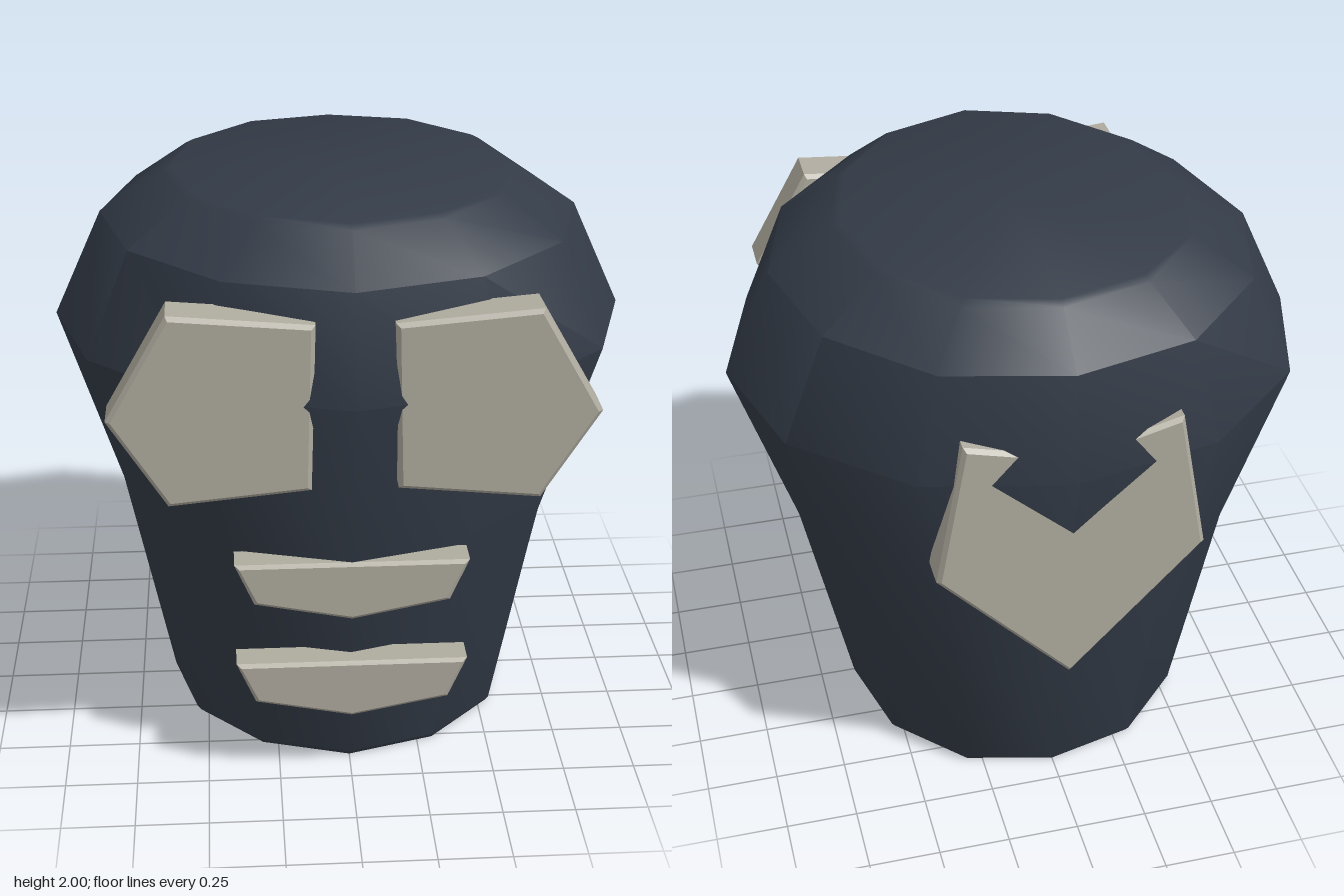
import * as THREE from 'three';
import { toCreasedNormals } from 'three/addons/utils/BufferGeometryUtils.js';

const shell = new THREE.MeshStandardMaterial({ color: 0x333b47 });
shell.name = 'slate shell';
const bone = new THREE.MeshStandardMaterial({ color: 0xafab9f });
bone.name = 'bone plate';

// Twelve-sided tapered body; each row is half width, height, front z, back z
function bodyGeometry() {
  const rows = [
    [0, 0, 0, 0],
    [0.61, 0, 0.61, 0.65],
    [0.625, 0.02, 0.625, 0.665],
    [0.79, 0.82, 0.74, 0.76],
    [1.0, 1.47, 0.925, 0.92],
    [0.83, 1.84, 0.86, 0.857],
    [0.61, 1.985, 0.69, 0.69],
    [0.58, 2, 0.665, 0.665],
    [0, 2, 0, 0],
  ];
  const geo = new THREE.LatheGeometry(rows.map(([r, y]) => new THREE.Vector2(r, y)), 12);
  const pos = geo.attributes.position;
  for (let i = 0; i < pos.count; i++) {
    const [r, , front, back] = rows[i % rows.length];
    if (r === 0) continue;
    const c = pos.getZ(i) / r;
    const s = Math.abs(pos.getX(i) / r);
    pos.setZ(i, c * (c > 0 ? front : back) - 0.025 * s);
  }
  return toCreasedNormals(geo, 0.6);
}

// Bevelled plate from an outline, filling z0 to z1
function plate(name, points, z0, z1, bevel = 0.014) {
  const shape = new THREE.Shape(points.map(([x, y]) => new THREE.Vector2(x, y)));
  const geo = new THREE.ExtrudeGeometry(shape, {
    depth: z1 - z0 - 2 * bevel,
    bevelThickness: bevel,
    bevelSize: bevel,
    bevelOffset: -bevel,
    bevelSegments: 1,
  });
  geo.translate(0, 0, z0 + bevel);
  const mesh = new THREE.Mesh(geo, bone);
  mesh.name = name;
  return mesh;
}

export function createModel() {
  const model = new THREE.Group();
  model.name = 'maskedHead';

  const body = new THREE.Mesh(bodyGeometry(), shell);
  body.name = 'body';
  model.add(body);

  // Eyes, mirrored across the middle
  const eye = [[0.125, 1.74], [0.59, 1.78], [0.79, 1.43], [0.6, 1.13], [0.14, 1.175]];
  for (const side of [1, -1]) {
    model.add(plate(side > 0 ? 'leftEye' : 'rightEye', eye.map(([x, y]) => [x * side, y]), 0.72, 0.88));
  }

  // Two matching mouth bars
  const bar = [[-0.395, 0.845], [-0.33, 0.695], [0, 0.63], [0.33, 0.695], [0.395, 0.845]];
  ['upperMouthBar', 'lowerMouthBar'].forEach((name, i) => {
    model.add(plate(name, bar.map(([x, y]) => [x, y - 0.38 * i]), 0.63, 0.76));
  });

  // Shield plate on the back, parted by the body's ridge
  const shield = [[0, 0.615], [0.455, 1.1], [0.36, 1.625], [0, 1.53], [-0.36, 1.625], [-0.455, 1.1]];
  model.add(plate('backShield', shield, -0.86, -0.725));

  return model;
}
